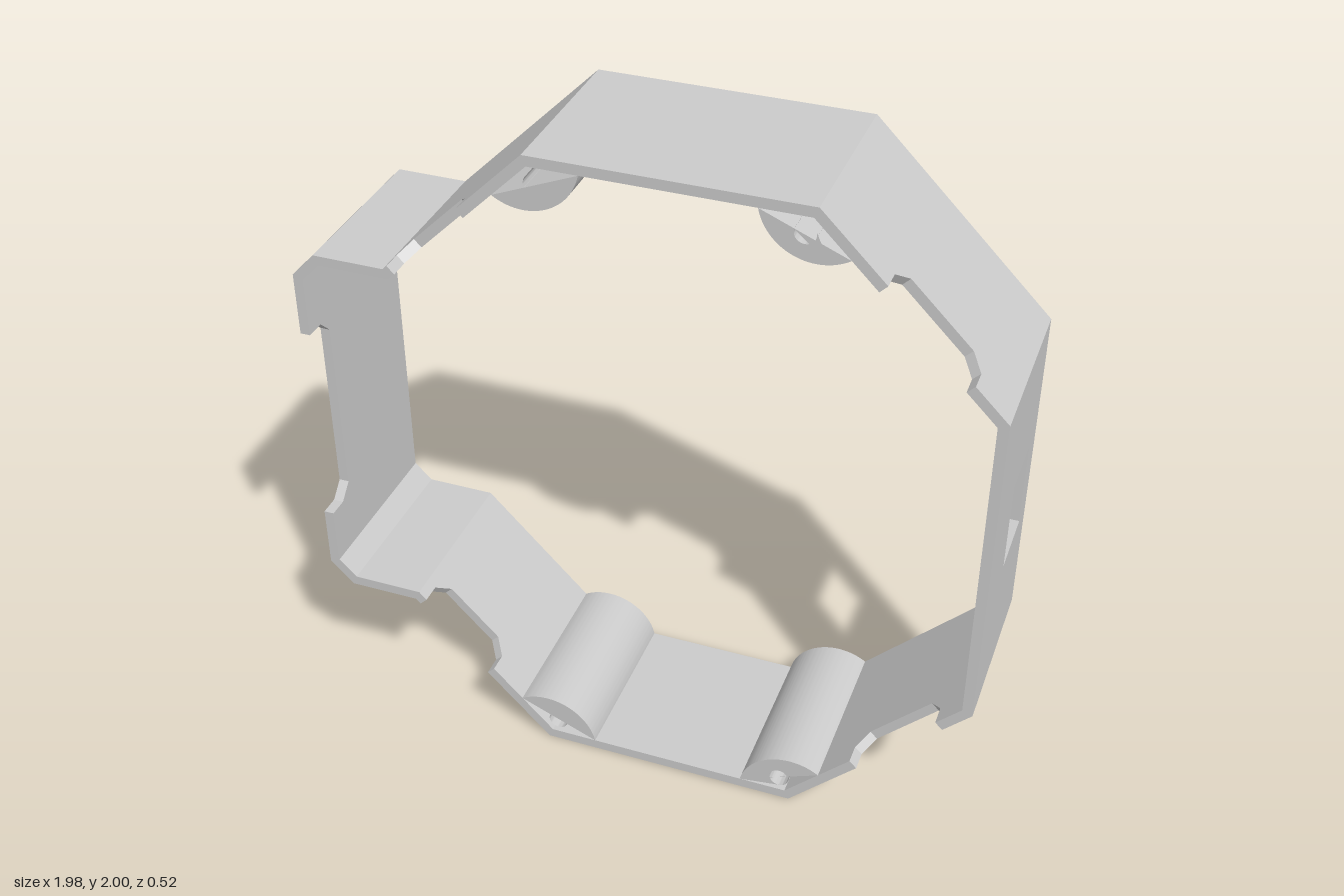
import * as THREE from 'three';
import { toCreasedNormals } from 'three/addons/utils/BufferGeometryUtils.js';

const T = 0.03;   // wall thickness
const H = 0.26;   // half depth along z
const mat = new THREE.MeshStandardMaterial({ color: 0xcccccc });

// Outer outline, counter-clockwise; each entry starts one wall.
// notch: [from, to] along the wall, cut into its front edge.
// window: [from, to, zMin, zMax] opening through the wall.
const walls = [
  { name: 'bottomWall', p: [-0.29, 0] },
  { name: 'lowerLeftDiagonalWall', p: [0.48, 0], notch: [0.28, 0.61] },
  { name: 'leftWall', p: [0.99, 0.51], window: [0.36, 0.63, -0.175, 0.035] },
  { name: 'upperLeftDiagonalWall', p: [0.99, 1.49], notch: [0.134, 0.467] },
  { name: 'topWall', p: [0.48, 2] },
  { name: 'upperRightDiagonalWall', p: [-0.29, 2], notch: [0.27, 0.573] },
  { name: 'bayTopWall', p: [-0.71, 1.585] },
  { name: 'bayTopChamfer', p: [-0.92, 1.585] },
  { name: 'rightWall', p: [-0.99, 1.51], notch: [0.19, 0.82] },
  { name: 'bayBottomChamfer', p: [-0.99, 0.5] },
  { name: 'bayBottomWall', p: [-0.92, 0.43] },
  { name: 'lowerRightDiagonalWall', p: [-0.71, 0.43], notch: [0.02, 0.32] },
];
const N = walls.length;
const corner = (i) => new THREE.Vector2(...walls[(i + N) % N].p);
const direction = (i) => corner(i + 1).sub(corner(i)).normalize();

// Inward mitre shift at corner i (negative where the outline turns inwards)
function mitre(i) {
  const a = direction(i - 1), b = direction(i);
  return T * Math.tan(Math.atan2(a.cross(b), a.dot(b)) / 2);
}

const polygon = (pts) => pts.map(([x, y]) => new THREE.Vector2(x, y));

// Flat panel drawn in (length, z), extruded through its thickness, ends mitred
function makeWall(i) {
  const { name, notch, window: win } = walls[i];
  const start = corner(i), d = direction(i);
  const L = start.distanceTo(corner(i + 1));
  const pts = [[0, -H], [L, -H], [L, H]];
  if (notch) {
    const [a, b] = notch, c = 0.045, floor = 0.155;
    pts.push([b, H], [b, floor + c], [b - c, floor], [a + c, floor], [a, floor + c], [a, H]);
  }
  pts.push([0, H]);
  const shape = new THREE.Shape(polygon(pts));
  if (win) {
    const [a, b, z0, z1] = win;
    shape.holes.push(new THREE.Path(polygon([[a, z0], [a, z1], [b, z1], [b, z0]])));
  }
  const geo = new THREE.ExtrudeGeometry(shape, { depth: T, bevelEnabled: false });
  geo.translate(0, 0, -T);
  const pos = geo.attributes.position;
  for (let v = 0; v < pos.count; v++) {
    if (pos.getZ(v) > -T / 2) continue;
    const s = pos.getX(v);
    if (s < 1e-4) pos.setX(v, s + mitre(i));
    else if (s > L - 1e-4) pos.setX(v, s - mitre(i + 1));
  }
  // Local axes: along the wall, world z, outward
  geo.applyMatrix4(new THREE.Matrix4().makeBasis(
    new THREE.Vector3(d.x, d.y, 0),
    new THREE.Vector3(0, 0, 1),
    new THREE.Vector3(d.y, -d.x, 0),
  ).setPosition(start.x, start.y, 0));
  geo.computeVertexNormals();
  const mesh = new THREE.Mesh(geo, mat);
  mesh.name = name;
  return mesh;
}

// Rounded screw boss filling the inside of corner i, bored right through
function makeBoss(i, name) {
  const R = 0.155, P = corner(i);
  const out = direction(i), back = direction(i - 1).negate();
  const inset = Math.asin(T / R);
  const a0 = out.angle(), a1 = a0 + ((back.angle() - a0 + 2 * Math.PI) % (2 * Math.PI));
  const mid = (a0 + a1) / 2;
  const along = (dist) => [P.x + dist * Math.cos(mid), P.y + dist * Math.sin(mid)];
  const shape = new THREE.Shape();
  shape.moveTo(...along(T / Math.sin((a1 - a0) / 2)));
  shape.absarc(P.x, P.y, R, a0 + inset, a1 - inset, false);
  shape.closePath();
  const bore = new THREE.Path();
  bore.absarc(...along(0.083), 0.029, 0, Math.PI * 2, true);
  shape.holes.push(bore);
  const geo = new THREE.ExtrudeGeometry(shape, { depth: 2 * H, bevelEnabled: false, curveSegments: 24 });
  geo.translate(0, 0, -H);
  const mesh = new THREE.Mesh(toCreasedNormals(geo, 0.6), mat);
  mesh.name = name;
  return mesh;
}

export function createModel() {
  const group = new THREE.Group();
  group.name = 'housingRing';
  walls.forEach((_, i) => group.add(makeWall(i)));
  group.add(
    makeBoss(0, 'lowerRightScrewBoss'),
    makeBoss(1, 'lowerLeftScrewBoss'),
    makeBoss(4, 'upperLeftScrewBoss'),
    makeBoss(5, 'upperRightScrewBoss'),
  );
  return group;
}
